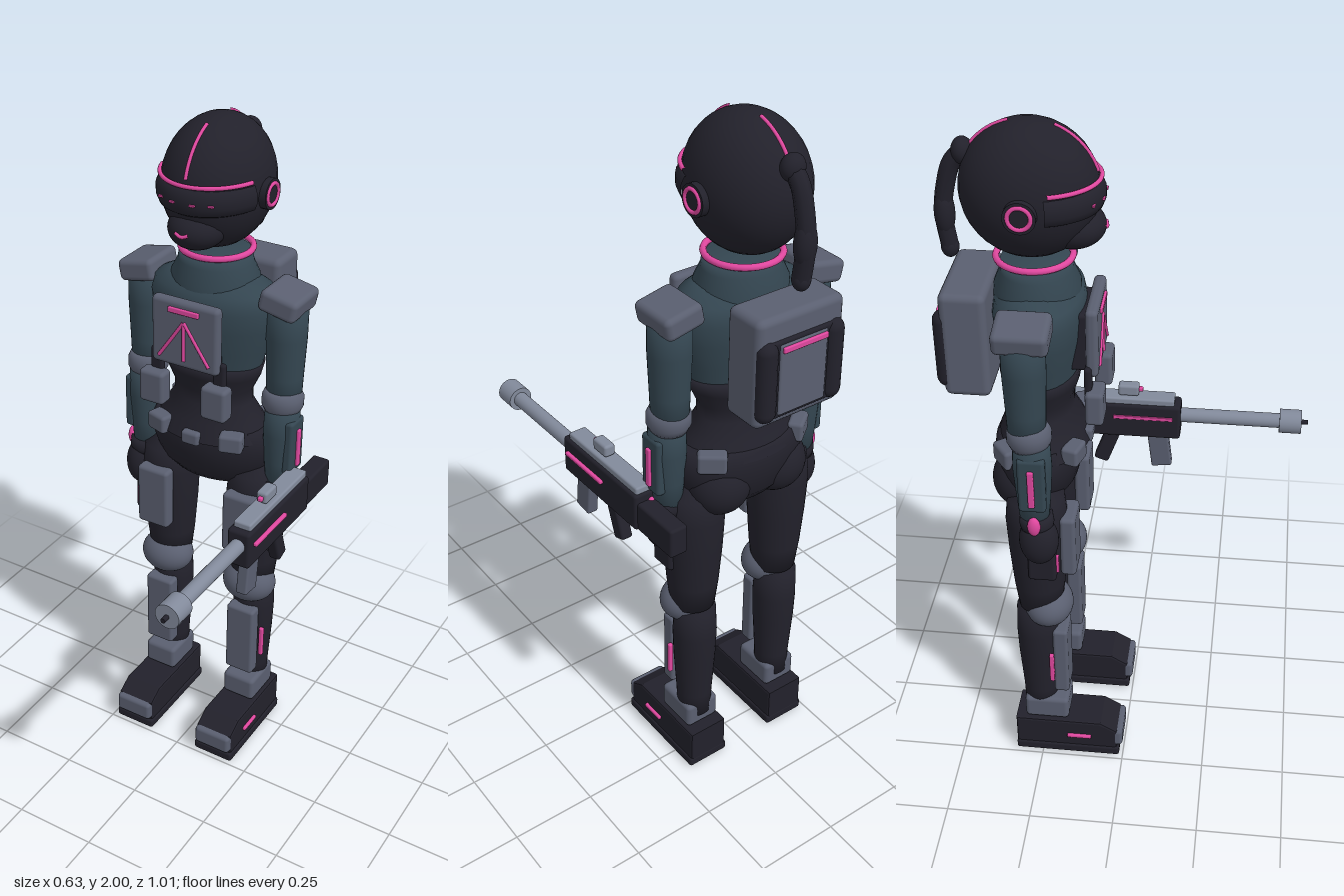
import * as THREE from 'three';
import { RoundedBoxGeometry } from 'three/addons/geometries/RoundedBoxGeometry.js';

const mat = (name, color) => {
  const m = new THREE.MeshStandardMaterial({ color });
  m.name = name;
  return m;
};

export function createModel() {
  const dark = mat('darkSuit', 0x22212b);
  const teal = mat('tealFabric', 0x344651);
  const grey = mat('greyArmour', 0x5a5f70);
  const steel = mat('lightSteel', 0x828a9b);
  const pink = mat('pinkGlow', 0xe0489f);

  const model = new THREE.Group();
  const body = new THREE.Group();
  body.name = 'body';
  body.position.x = -0.022;
  model.add(body);

  const add = (parent, name, geo, material, x = 0, y = 0, z = 0) => {
    const m = new THREE.Mesh(geo, material);
    m.name = name;
    m.position.set(x, y, z);
    parent.add(m);
    return m;
  };
  const box = (parent, name, material, w, h, d, x, y, z, r = 0.01) =>
    add(parent, name, new RoundedBoxGeometry(w, h, d, 2, Math.min(r, w / 2.1, h / 2.1, d / 2.1)), material, x, y, z);
  const ball = (parent, name, material, rx, ry, rz, x, y, z) =>
    add(parent, name, new THREE.SphereGeometry(1, 32, 20).scale(rx, ry, rz), material, x, y, z);
  const tube = (parent, name, material, pts, r) =>
    add(parent, name, new THREE.TubeGeometry(
      new THREE.CatmullRomCurve3(pts.map(p => new THREE.Vector3(...p))), 32, r, 8), material);
  // Turned shape, listed bottom to top as [radius, y], flattened in z
  const turned = (parent, name, material, pts, x, z, depth = 1) =>
    add(parent, name, new THREE.LatheGeometry(pts.map(p => new THREE.Vector2(...p)), 32).scale(1, 1, depth), material, x, 0, z);

  // Head and visor
  ball(body, 'helmet', dark, 0.148, 0.18, 0.18, 0, 1.82, -0.25);
  ball(body, 'faceMask', dark, 0.08, 0.06, 0.085, 0, 1.725, -0.142);
  const ring = (name, material, rx, rz, y, tr, ty, arc) => {
    const pts = [];
    for (let i = 0; i <= 24; i++) {
      const a = -arc + 2 * arc * i / 24;
      pts.push(new THREE.Vector3(rx * Math.sin(a), 0, rz * Math.cos(a)));
    }
    const g = new THREE.TubeGeometry(new THREE.CatmullRomCurve3(pts), 48, tr, 10);
    return add(body, name, g.scale(1, ty, 1), material, 0, y, -0.25);
  };
  ring('visor', dark, 0.137, 0.172, 1.813, 0.022, 1.75, 1.25);
  ring('visorTrim', pink, 0.147, 0.182, 1.857, 0.006, 1, 1.2);
  for (const x of [-0.075, -0.03, 0.03, 0.075])
    box(body, 'visorLight', pink, 0.016, 0.006, 0.008, x, 1.813, -0.25 + 0.194 * Math.sqrt(1 - (x / 0.16) ** 2), 0.002);
  tube(body, 'mouthLight', pink, [[-0.02, 1.729, -0.06], [0, 1.723, -0.056], [0.02, 1.729, -0.06]], 0.005);
  // Crest lines over the crown
  for (const [a, b] of [[0.38, 1.28], [-1.1, -0.25]]) {
    const pts = [];
    for (let i = 0; i <= 8; i++) {
      const t = a + (b - a) * i / 8;
      pts.push([0, 1.82 + 0.18 * Math.cos(t), -0.25 + 0.181 * Math.sin(t)]);
    }
    tube(body, 'crestLine', pink, pts, 0.005);
  }
  // Ponytail
  tube(body, 'ponytail', dark, [[0, 1.92, -0.4], [0, 1.88, -0.442], [0, 1.82, -0.463], [0, 1.74, -0.475], [0, 1.645, -0.465]], 0.024);
  ball(body, 'ponytailTie', dark, 0.033, 0.035, 0.028, 0, 1.91, -0.415);
  ball(body, 'ponytailBulge', dark, 0.03, 0.065, 0.027, 0, 1.74, -0.472);
  ball(body, 'ponytailTip', dark, 0.024, 0.03, 0.024, 0, 1.645, -0.465);

  // Neck and torso
  add(body, 'neckRing', new THREE.TorusGeometry(0.1, 0.009, 10, 40).rotateX(Math.PI / 2), pink, 0, 1.635, -0.245);
  turned(body, 'collar', teal, [[0.13, 1.5], [0.127, 1.56], [0.108, 1.6], [0.104, 1.628], [0, 1.63]], 0, -0.24, 0.9);
  turned(body, 'chest', teal, [[0.15, 1.3], [0.165, 1.36], [0.185, 1.43], [0.192, 1.49], [0.18, 1.535], [0.125, 1.565], [0, 1.57]], 0, -0.235, 0.65);
  turned(body, 'waist', dark, [[0.185, 1.08], [0.155, 1.13], [0.122, 1.18], [0.122, 1.22], [0.145, 1.27], [0.155, 1.31], [0, 1.315]], 0, -0.24, 0.72);
  turned(body, 'pelvis', dark, [[0, 0.92], [0.13, 0.925], [0.175, 0.96], [0.2, 1.02], [0.206, 1.07], [0.185, 1.11], [0, 1.13]], 0, -0.25, 0.6);

  // Chest plate with arrow
  box(body, 'chestBacking', dark, 0.16, 0.17, 0.06, 0, 1.42, -0.125);
  box(body, 'chestPlate', grey, 0.212, 0.2, 0.034, 0, 1.43, -0.088, 0.014);
  box(body, 'chestBar', pink, 0.096, 0.016, 0.009, 0, 1.503, -0.068, 0.003);
  for (const s of [-1, 0, 1])
    tube(body, 'chestArrow', pink, [[0, 1.472, -0.07], [s * 0.04, 1.413, -0.07], [s * 0.08, 1.355, -0.07]], 0.005);

  // Buckle and backpack
  box(body, 'beltBuckle', grey, 0.058, 0.042, 0.03, 0, 1.09, -0.115);
  box(body, 'backpack', grey, 0.272, 0.305, 0.125, 0, 1.42, -0.418, 0.02);
  box(body, 'backpackPanel', dark, 0.2, 0.22, 0.02, 0, 1.4, -0.478, 0.008);
  box(body, 'backpackFace', grey, 0.15, 0.2, 0.016, 0, 1.4, -0.485, 0.006);
  box(body, 'backpackLight', pink, 0.14, 0.016, 0.009, 0, 1.487, -0.496, 0.003);

  for (const s of [-1, 1]) {
    const side = new THREE.Group();
    side.name = s < 0 ? 'rightSide' : 'leftSide';
    body.add(side);

    // Ear discs
    const ear = add(side, 'earDisc', new THREE.CylinderGeometry(0.042, 0.042, 0.035, 28).rotateZ(Math.PI / 2), dark, s * 0.145, 1.81, -0.25);
    add(ear, 'earRing', new THREE.TorusGeometry(0.029, 0.006, 8, 28).rotateY(Math.PI / 2), pink, s * 0.017);

    // Canisters, chest and belt pouches
    add(side, 'canister', new THREE.CapsuleGeometry(0.029, 0.17, 6, 16), dark, s * 0.105, 1.4, -0.474);
    box(side, 'chestPouch', grey, 0.08, 0.1, 0.05, s * 0.1, 1.25, -0.08, 0.012);
    box(side, 'pouchStrap', dark, 0.04, 0.09, 0.02, s * 0.1, 1.32, -0.098);
    box(side, 'frontBeltPouch', grey, 0.07, 0.055, 0.05, s * 0.118, 1.097, -0.14).rotation.y = s * 0.3;
    box(side, 'backBeltPouch', grey, 0.08, 0.058, 0.045, s * 0.145, 1.095, -0.322).rotation.y = -s * 0.65;

    // Arm
    box(side, 'shoulderPad', grey, 0.115, 0.064, 0.145, s * 0.225, 1.53, -0.245, 0.016).rotation.z = -s * 0.2;
    turned(side, 'upperArm', teal, [[0, 1.2], [0.05, 1.21], [0.053, 1.3], [0.058, 1.42], [0.058, 1.5], [0, 1.55]], s * 0.225, -0.245);
    turned(side, 'elbowCuff', grey, [[0, 1.185], [0.05, 1.188], [0.06, 1.21], [0.06, 1.235], [0.05, 1.257], [0, 1.26]], s * 0.225, -0.24);
    turned(side, 'forearm', teal, [[0, 0.94], [0.04, 0.945], [0.047, 1.03], [0.053, 1.12], [0.05, 1.2], [0, 1.2]], s * 0.228, -0.235);
    box(side, 'gauntlet', teal, 0.03, 0.17, 0.075, s * 0.267, 1.09, -0.232);
    box(side, 'armLight', pink, 0.01, 0.118, 0.018, s * 0.285, 1.085, -0.232, 0.004);
    turned(side, 'wristCuff', dark, [[0, 0.92], [0.045, 0.922], [0.048, 0.94], [0.045, 0.965], [0, 0.97]], s * 0.23, -0.23);
    ball(side, 'glove', dark, 0.05, 0.078, 0.055, s * 0.238, 0.88, -0.225);
    ball(side, 'handLight', pink, 0.014, 0.03, 0.018, s * 0.277, 0.955, -0.23);

    // Leg
    const x = s * 0.148;
    turned(side, 'thigh', dark, [[0, 0.57], [0.064, 0.575], [0.074, 0.66], [0.083, 0.78], [0.088, 0.89], [0.08, 0.97], [0, 1.02]], x, -0.245);
    ball(side, 'buttock', dark, 0.09, 0.09, 0.085, s * 0.095, 0.99, -0.288);
    box(side, 'thighPlate', grey, 0.106, 0.2, 0.045, x, 0.82, -0.153, 0.012);
    box(side, 'thighHolster', dark, 0.035, 0.165, 0.08, s * 0.222, 0.81, -0.222);
    box(side, 'thighLight', pink, 0.012, 0.06, 0.009, s * 0.222, 0.782, -0.179, 0.003);
    ball(side, 'kneeGuard', grey, 0.084, 0.066, 0.072, x, 0.57, -0.222);
    turned(side, 'shin', dark, [[0, 0.16], [0.05, 0.165], [0.052, 0.24], [0.061, 0.38], [0.064, 0.47], [0.06, 0.56], [0, 0.58]], x, -0.257);
    box(side, 'shinPlate', grey, 0.094, 0.245, 0.045, x, 0.367, -0.187, 0.01);
    box(side, 'shinLight', pink, 0.014, 0.105, 0.014, s * 0.203, 0.353, -0.212, 0.004);
    box(side, 'ankleGuard', grey, 0.108, 0.08, 0.135, x, 0.172, -0.235, 0.014);

    // Boot
    const profile = new THREE.Shape([[-0.325, 0.025], [-0.025, 0.025], [-0.025, 0.095], [-0.07, 0.122], [-0.325, 0.122]]
      .map(p => new THREE.Vector2(...p)));
    const boot = new THREE.ExtrudeGeometry(profile, { depth: 0.11, bevelSize: 0.007, bevelThickness: 0.007, bevelSegments: 2 });
    add(side, 'boot', boot.rotateY(-Math.PI / 2).translate(0.055, 0, 0), dark, x);
    box(side, 'bootSole', dark, 0.134, 0.032, 0.322, x, 0.016, -0.172, 0.008);
    box(side, 'toeCap', grey, 0.122, 0.062, 0.058, x, 0.068, -0.03, 0.012);
    box(side, 'bootLight', pink, 0.012, 0.012, 0.075, s * 0.213, 0.073, -0.135, 0.004);
  }

  // Rifle
  const gun = new THREE.Group();
  gun.name = 'rifle';
  gun.position.x = 0.271;
  model.add(gun);
  const rod = (name, material, r, z0, z1, y) =>
    add(gun, name, new THREE.CylinderGeometry(r, r, z1 - z0, 24).rotateX(Math.PI / 2), material, 0, y, (z0 + z1) / 2);
  box(gun, 'receiver', dark, 0.07, 0.115, 0.355, 0, 0.948, -0.053);
  box(gun, 'topRail', steel, 0.054, 0.024, 0.33, 0, 1.012, -0.06, 0.006);
  box(gun, 'stock', dark, 0.055, 0.088, 0.165, 0, 0.935, -0.298, 0.008);
  box(gun, 'sight', steel, 0.034, 0.036, 0.062, 0, 1.044, -0.033, 0.008);
  box(gun, 'sightLight', pink, 0.014, 0.014, 0.014, 0, 1.044, 0.003, 0.004);
  box(gun, 'magazine', grey, 0.034, 0.12, 0.062, 0, 0.835, 0.062, 0.006).rotation.x = -0.12;
  box(gun, 'grip', dark, 0.036, 0.125, 0.045, 0, 0.843, -0.098, 0.008).rotation.x = -0.35 * -1;
  box(gun, 'sideLight', pink, 0.012, 0.012, 0.178, 0.04, 0.963, 0.012, 0.004);
  box(gun, 'innerSideLight', pink, 0.006, 0.012, 0.178, -0.036, 0.963, 0.012, 0.002);
  rod('barrel', steel, 0.022, 0.12, 0.43, 0.96);
  rod('muzzle', steel, 0.036, 0.42, 0.485, 0.96);
  rod('muzzleBore', dark, 0.007, 0.48, 0.505, 0.96);

  return model;
}
